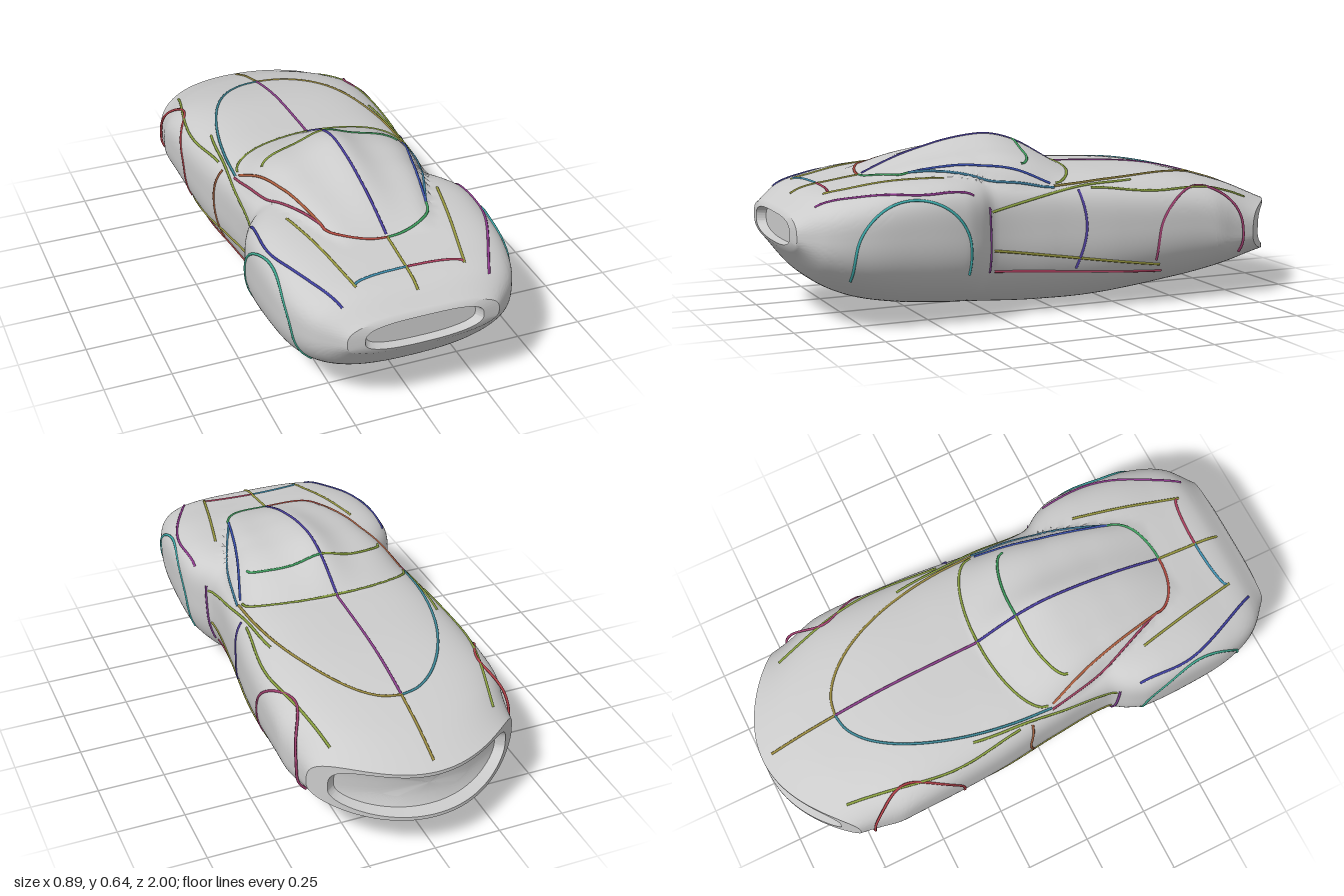
import * as THREE from 'three';
import { toCreasedNormals } from 'three/addons/utils/BufferGeometryUtils.js';

const { smoothstep, clamp } = THREE.MathUtils;

// Body stations: z, half width, belly height, deck height
const STATIONS = [
  [-1, .395, .145, .34],
  [-.8, .422, .095, .42],
  [-.5, .426, .044, .494],
  [-.2, .41, .008, .518],
  [.05, .38, .005, .522],
  [.28, .37, .019, .522],
  [.35, .412, .027, .522],
  [.42, .437, .033, .52],
  [.62, .438, .055, .515],
  [.78, .42, .095, .495],
  [.9, .372, .165, .472],
  [.99, .28, .275, .415],
];
const LOWER = 2.45; // squareness of the belly

// Cabin: z, half width, height above the deck
const CABIN = [[-.11, .335, 0], [.06, .338, .092], [.2, .305, .118], [.45, .237, .075], [.67, .16, 0]];

// Smooth interpolation of one table row at z
function sample(table, z) {
  const last = table.length - 1;
  z = clamp(z, table[0][0], table[last][0]);
  let i = 0;
  while (i < last - 1 && z > table[i + 1][0]) i++;
  const a = table[i], b = table[i + 1], p = table[Math.max(i - 1, 0)], q = table[Math.min(i + 2, last)];
  const h = b[0] - a[0], t = (z - a[0]) / h, t2 = t * t, t3 = t2 * t;
  return a.map((v, k) => {
    const m0 = (b[k] - p[k]) / (b[0] - p[0]) * h, m1 = (q[k] - v) / (q[0] - a[0]) * h;
    return (2 * t3 - 3 * t2 + 1) * v + (t3 - 2 * t2 + t) * m0 + (3 * t2 - 2 * t3) * b[k] + (t3 - t2) * m1;
  });
}

// Section at z: adds the widest level, the fender rise and the upper squareness
function section(z) {
  const [, w, belly, top] = sample(STATIONS, z);
  const mid = .25 + .06 * smoothstep(z, -1, -.45) + .03 * smoothstep(z, .2, .6);
  const rise = .05 * smoothstep(-z, .5, 1) + .032 * smoothstep(z, .28, .5) * smoothstep(-z, -.99, -.65);
  const n = 3.2 + 1.1 * Math.exp(-(((z - .25) / .4) ** 2));
  return { w, belly, top, mid, rise, n };
}

// The -z end wraps round in plan
const bend = (s, x) => 1.4 * smoothstep(-s, .5, 1) * x * x;

// Cabin height with a raised spine and near-upright sides
function cabin(x, z) {
  const [, w, h] = sample(CABIN, z - .9 * x * x);
  const u = Math.min(Math.abs(x) / w, 1);
  return Math.max(h, 0) * (1 - u ** 7) * (.62 + .38 * Math.exp(-((x / .09) ** 2)));
}

// Point on the upper skin above (x, z)
function topPoint(x, z) {
  let s = z;
  for (let i = 0; i < 12; i++) s = z - bend(s, x);
  const { w, mid, top, rise, n } = section(s);
  const u = Math.min(Math.abs(x) / w, 1);
  const y = mid + (top + rise * u * u - mid) * (1 - u ** n) ** (1 / n) + cabin(x, z);
  return new THREE.Vector3(x, y, z);
}

// Point on the flank at (z, y)
function sidePoint(z, y) {
  let x = .4;
  for (let i = 0; i < 12; i++) {
    const { w, belly, mid, top, rise, n } = section(z - bend(z - bend(z, x), x));
    const e = y > mid ? n : LOWER;
    const v = y > mid ? (y - mid) / (top + rise - mid) : (mid - y) / (mid - belly);
    x = w * (1 - Math.min(v, 1) ** e) ** (1 / e);
  }
  return new THREE.Vector3(x, y, z);
}

// One closed cross-section; scale and push form the recesses in both ends
const AROUND = 144;
function ring(s, scale = 1, push = 0) {
  const { w, belly, mid, top, rise, n } = section(s);
  const cy = (belly + top) / 2, out = [];
  for (let j = 0; j < AROUND; j++) {
    const a = j / AROUND * Math.PI * 2, c = Math.cos(a), sn = Math.sin(a), e = sn > 0 ? n : LOWER;
    const r = (Math.abs(c) ** e + Math.abs(sn) ** e) ** (-1 / e);
    const x = w * r * c, u = r * c;
    const z = s + bend(s, x * scale);
    let y = mid + r * sn * (sn > 0 ? top + rise * u * u - mid : mid - belly);
    if (sn > 0) y += cabin(x, z);
    out.push(x * scale, cy + (y - cy) * scale, z + push);
  }
  return out;
}

function bodyGeometry() {
  const rings = [ring(-1, .001, .07), ring(-1, .45, .065), ring(-1, .78, .05), ring(-1, .86)];
  const slices = 150;
  for (let i = 0; i <= slices; i++) {
    const t = i / slices;
    rings.push(ring(-1 + 1.99 * (.5 * t + .25 * (1 - Math.cos(Math.PI * t)))));
  }
  rings.push(ring(.99, .78, .008), ring(.99, .72, -.025), ring(.99, .001, -.025));
  const index = [];
  for (let i = 0; i < rings.length - 1; i++) {
    for (let j = 0; j < AROUND; j++) {
      const a = i * AROUND + j, b = i * AROUND + (j + 1) % AROUND;
      index.push(a, b, a + AROUND, b, b + AROUND, a + AROUND);
    }
  }
  const g = new THREE.BufferGeometry();
  g.setAttribute('position', new THREE.Float32BufferAttribute(rings.flat(), 3));
  g.setIndex(index);
  return toCreasedNormals(g, .6);
}

// Quarter ellipse in plan, from the centre line out to half width w at z
function bow(w, z, depth) {
  return Array.from({ length: 9 }, (_, i) => {
    const a = i / 8 * Math.PI / 2;
    return [w * Math.sin(a), z + depth * Math.cos(a)];
  });
}

// Wheel arch on the flank: half ellipse on two short legs
function arch(z, radius, y, height) {
  const pts = Array.from({ length: 11 }, (_, i) => {
    const a = i / 10 * Math.PI;
    return [z + radius * Math.cos(a), y + height * Math.sin(a)];
  });
  return [[z + radius, y - .08], ...pts, [z - radius, y - .08]];
}

export function createModel() {
  const model = new THREE.Group();
  const body = new THREE.Mesh(bodyGeometry(), new THREE.MeshStandardMaterial({ color: 0xcccccc }));
  body.name = 'body';
  model.add(body);

  // Thin coloured seam laid on the skin through a few 2D points
  function seam(name, color, place, pts, side = 1) {
    const flat = new THREE.CatmullRomCurve3(pts.map(([a, b]) => new THREE.Vector3(a, b, 0)));
    const path = flat.getPoints(36).map(p => place(p.x, p.y)).map(p => p.setX(p.x * side));
    const tube = new THREE.TubeGeometry(new THREE.CatmullRomCurve3(path), 60, .005, 6);
    const mesh = new THREE.Mesh(tube, new THREE.MeshStandardMaterial({ color }));
    mesh.name = name;
    model.add(mesh);
  }
  function pair(name, left, right, place, pts) {
    seam(name, left, place, pts, 1);
    seam(name, right, place, pts, -1);
  }

  // Centre line
  seam('spineSeam', 0x4a3fa0, topPoint, [[0, -.1], [0, .66]]);
  seam('longDeckSeam', 0x8a3f8a, topPoint, [[0, -.69], [0, -.1]]);
  seam('longDeckEndSeam', 0x9a8a40, topPoint, [[0, -.96], [0, -.69]]);
  seam('shortDeckSeam', 0x9a9a40, topPoint, [[0, .67], [0, .93]]);

  // Deck and cabin
  pair('deckPanelSeam', 0x9a8a40, 0x3f8a9a, topPoint, bow(.34, .04, -.73));
  pair('screenBaseSeam', 0x8aa040, 0x8aa040, topPoint, bow(.33, .03, -.13));
  pair('screenTopSeam', 0x40a060, 0x90a840, topPoint, bow(.27, .14, -.08));
  pair('cabinTailSeam', 0x40a060, 0xb04a40, topPoint, bow(.2, .55, .12));
  pair('deckEdgeSeam', 0xb04060, 0x4090b0, topPoint, bow(.2, .86, -.03));
  pair('windowSeam', 0x3a50b0, 0xb06040, topPoint, [[.33, .05], [.27, .25], [.2, .55]]);
  pair('windowSill', 0x4080a0, 0xa04060, topPoint, [[.345, .04], [.31, .25], [.2, .55]]);
  pair('deckSideSeam', 0x9a9a40, 0x9a9a40, topPoint, [[.29, .45], [.2, .87]]);

  // Fenders
  pair('fenderSeam', 0x903a90, 0x3f40a0, topPoint, [[.4, .38], [.4, .6], [.27, .92]]);
  pair('longFenderSeam', 0x8aa040, 0x8aa040, topPoint, [[.36, -.1], [.385, -.4], [.31, -.79]]);

  // Flanks
  pair('fenderArch', 0x40b0b0, 0x40a890, sidePoint, arch(.61, .21, .27, .2));
  pair('longFenderArch', 0xa04070, 0xb04048, sidePoint, arch(-.545, .185, .26, .185));
  pair('shoulderSeam', 0x8aa040, 0x8aa040, sidePoint, [[.3, .4], [-.05, .47], [-.28, .48]]);
  pair('lowerSideSeam', 0x9a9a40, 0x9a9a40, sidePoint, [[.29, .26], [-.38, .16]]);
  pair('sillSeam', 0xb04060, 0xa04040, sidePoint, [[.28, .18], [-.4, .13]]);
  pair('doorSeam', 0x5040a0, 0xa06040, sidePoint, [[-.05, .46], [-.07, .32], [-.04, .17]]);
  pair('ventSeam', 0x804090, 0x804090, sidePoint, [[.31, .42], [.3, .18]]);
  return model;
}
